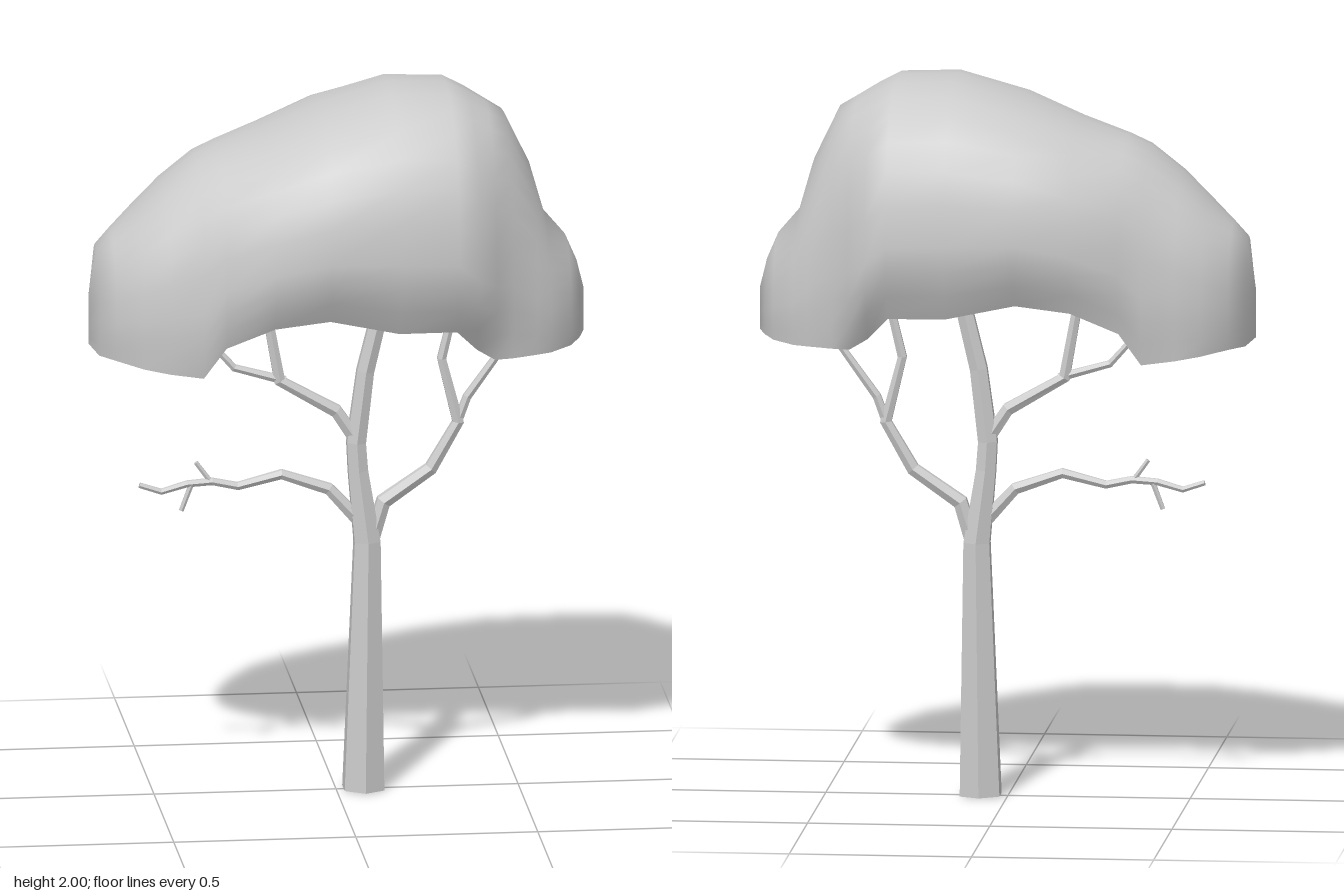
import * as THREE from 'three';
import { mergeVertices } from 'three/addons/utils/BufferGeometryUtils.js';

const grey = (opts) => new THREE.MeshStandardMaterial({ color: 0xcccccc, ...opts });
const bark = grey({ flatShading: true });
const foliage = grey({ side: THREE.DoubleSide });

// Builds an indexed surface from rows of points; wrap joins each row's ends
function loft(rows, wrap) {
  const n = rows[0].length, pos = rows.flat(2), index = [];
  for (let s = 0; s < rows.length - 1; s++) {
    for (let k = 0; k < (wrap ? n : n - 1); k++) {
      const a = s * n + k, b = s * n + (k + 1) % n;
      if (wrap) index.push(a, b, b + n, a, b + n, a + n);
      else index.push(a, a + n, b + n, a, b + n, b);
    }
  }
  if (wrap) {
    const last = (rows.length - 1) * n;
    for (let k = 1; k < n - 1; k++) index.push(0, k + 1, k, last, last + k, last + k + 1);
  }
  const g = new THREE.BufferGeometry();
  g.setAttribute('position', new THREE.Float32BufferAttribute(pos, 3));
  g.setIndex(index);
  return g;
}

// Six-sided limb along points [x, y, radius] in the z = 0 plane
function limb(name, pts) {
  const rows = pts.map(([x, y, r], i) => {
    const p = pts[Math.max(i - 1, 0)], q = pts[Math.min(i + 1, pts.length - 1)];
    const t = new THREE.Vector2(q[0] - p[0], q[1] - p[1]).normalize();
    return Array.from({ length: 6 }, (_, k) => {
      const a = k * Math.PI / 3, s = r * Math.sin(a);
      return [x + t.y * s, y - t.x * s, r * Math.cos(a)];
    });
  });
  const g = loft(rows, true);
  g.computeVertexNormals();
  const mesh = new THREE.Mesh(g, bark);
  mesh.name = name;
  return mesh;
}

// Open-bottomed canopy: arches lofted along x
function canopy() {
  // x, top height, half width, rim height, half width at rim
  const stations = [
    [-0.68, 1.42, 0, 1.28, 0],
    [-0.66, 1.56, 0.10, 1.27, 0.09],
    [-0.62, 1.60, 0.165, 1.27, 0.15],
    [-0.55, 1.67, 0.22, 1.26, 0.21],
    [-0.48, 1.74, 0.245, 1.25, 0.235],
    [-0.39, 1.81, 0.275, 1.24, 0.25],
    [-0.33, 1.835, 0.305, 1.33, 0.275],
    [-0.20, 1.88, 0.36, 1.39, 0.31],
    [-0.05, 1.945, 0.39, 1.41, 0.32],
    [0.14, 2.0, 0.38, 1.37, 0.32],
    [0.30, 1.995, 0.375, 1.365, 0.30],
    [0.36, 1.965, 0.355, 1.30, 0.25],
    [0.41, 1.935, 0.31, 1.27, 0.25],
    [0.46, 1.905, 0.26, 1.27, 0.24],
    [0.53, 1.76, 0.225, 1.27, 0.21],
    [0.57, 1.62, 0.20, 1.27, 0.19],
    [0.63, 1.55, 0.15, 1.275, 0.14],
    [0.66, 1.48, 0.085, 1.28, 0.08],
    [0.68, 1.40, 0, 1.28, 0],
  ];
  const rows = stations.map(([x, top, w, rim, rimW]) => {
    const wide = rim + 0.33 * (top - rim), half = [];
    for (let k = 0; k < 3; k++) {
      const f = k / 3;
      half.push([x, rim + f * (wide - rim), rimW + (w - rimW) * Math.sin(f * Math.PI / 2)]);
    }
    for (let k = 0; k < 7; k++) {
      const a = k / 7 * Math.PI / 2, e = 2 / 2.3;
      half.push([x, wide + (top - wide) * Math.sin(a) ** e, w * Math.cos(a) ** e]);
    }
    const mirrored = half.map(([px, y, z]) => [px, y, -z]).reverse();
    return [...half, [x, top, 0], ...mirrored];
  });
  const g = mergeVertices(loft(rows, false), 1e-4);
  g.computeVertexNormals();
  const mesh = new THREE.Mesh(g, foliage);
  mesh.name = 'canopy';
  return mesh;
}

export function createModel() {
  const tree = new THREE.Group();
  tree.name = 'tree';
  tree.add(
    canopy(),
    limb('trunk', [[0.075, 0, 0.063], [0.085, 0.7, 0.041], [0.06, 0.9, 0.031],
      [0.055, 0.98, 0.03], [0.08, 1.18, 0.027], [0.15, 1.47, 0.024]]),
    // Right-hand limb and its fork
    limb('rightBranch', [[0.09, 0.68, 0.024], [0.13, 0.81, 0.023], [0.26, 0.9, 0.02],
      [0.335, 1.03, 0.018], [0.29, 1.21, 0.014], [0.34, 1.42, 0.012]]),
    limb('rightFork', [[0.33, 1.02, 0.014], [0.36, 1.1, 0.013], [0.49, 1.28, 0.01]]),
    // Upper left limb and its fork
    limb('upperLeftBranch', [[0.06, 0.98, 0.022], [0, 1.07, 0.02],
      [-0.155, 1.16, 0.018], [-0.2, 1.41, 0.014]]),
    limb('upperLeftFork', [[-0.14, 1.16, 0.013], [-0.28, 1.2, 0.011],
      [-0.36, 1.29, 0.009], [-0.41, 1.33, 0.008]]),
    // Low bare limb with two twigs
    limb('lowLeftBranch', [[0.08, 0.74, 0.022], [-0.02, 0.85, 0.018], [-0.15, 0.895, 0.015],
      [-0.27, 0.865, 0.012], [-0.34, 0.88, 0.011], [-0.41, 0.875, 0.01],
      [-0.48, 0.855, 0.009], [-0.54, 0.875, 0.008]]),
    limb('upperTwig', [[-0.345, 0.88, 0.008], [-0.385, 0.935, 0.007]]),
    limb('lowerTwig', [[-0.395, 0.88, 0.008], [-0.425, 0.8, 0.007]]),
  );
  return tree;
}
